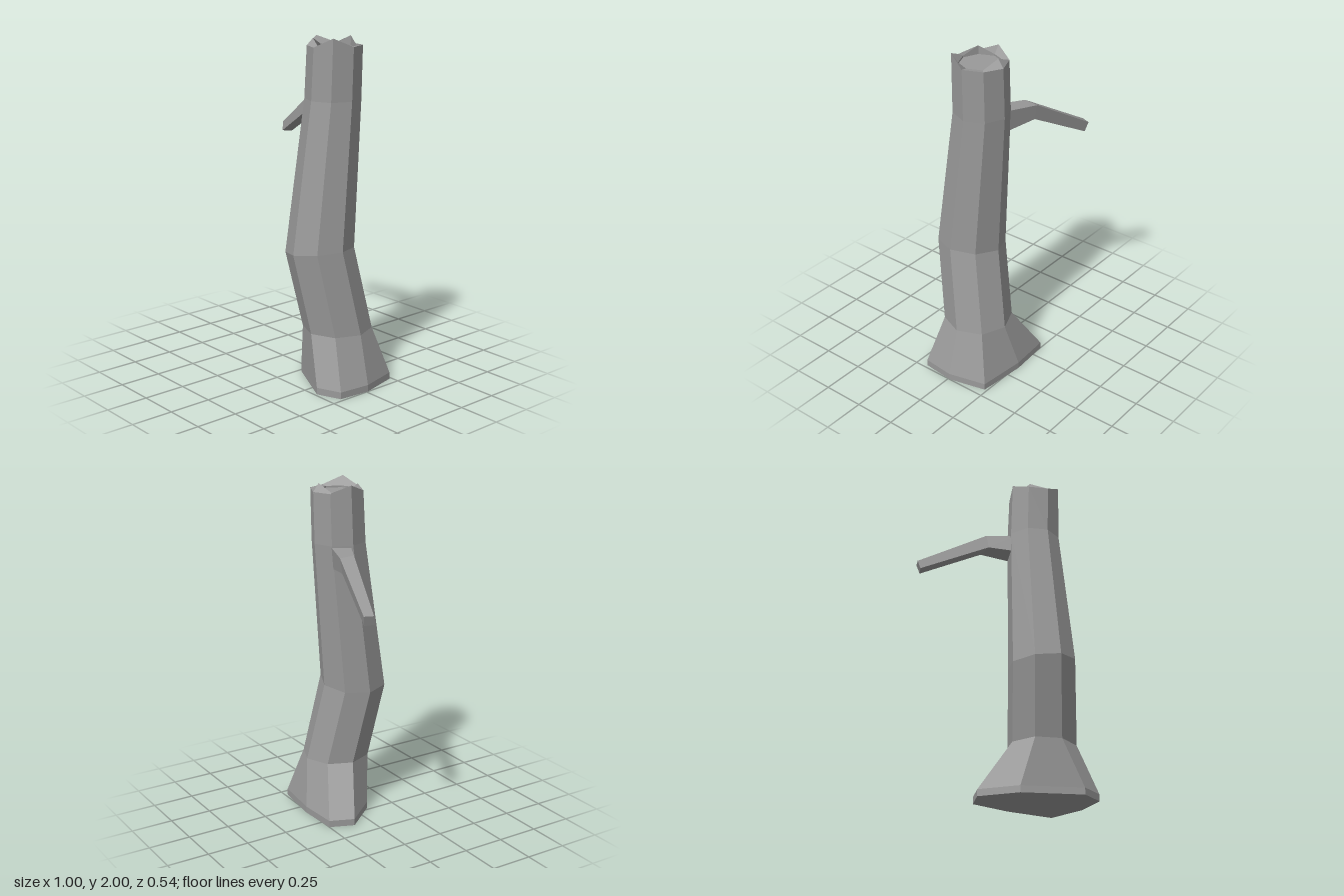
import * as THREE from 'three';

const material = new THREE.MeshStandardMaterial({ color: 0x999999 });

// Joins equal-sized rings of corners into a capped solid, each face shaded flat
function loft(name, rings) {
  const positions = [], normals = [];
  const addFace = (corners) => {
    const normal = new THREE.Vector3();
    for (let i = 1; i + 1 < corners.length; i++) {
      const u = corners[i].clone().sub(corners[0]);
      normal.add(u.cross(corners[i + 1].clone().sub(corners[0])));
    }
    normal.normalize();
    for (let i = 1; i + 1 < corners.length; i++) {
      for (const p of [corners[0], corners[i], corners[i + 1]]) {
        positions.push(p.x, p.y, p.z);
        normals.push(normal.x, normal.y, normal.z);
      }
    }
  };
  const loops = rings.map((ring) => ring.map((p) => new THREE.Vector3(...p)));
  const n = loops[0].length;
  for (let i = 0; i + 1 < loops.length; i++) {
    for (let j = 0; j < n; j++) {
      const k = (j + 1) % n;
      addFace([loops[i][j], loops[i + 1][j], loops[i + 1][k], loops[i][k]]);
    }
  }
  addFace(loops[0]);
  addFace([...loops[loops.length - 1]].reverse());

  const geometry = new THREE.BufferGeometry();
  geometry.setAttribute('position', new THREE.Float32BufferAttribute(positions, 3));
  geometry.setAttribute('normal', new THREE.Float32BufferAttribute(normals, 3));
  const mesh = new THREE.Mesh(geometry, material);
  mesh.name = name;
  return mesh;
}

// Octagon running from +x towards +z; height(j, x) gives each corner's y
function octagon(cx, cz, r, height) {
  return Array.from({ length: 8 }, (_, j) => {
    const a = j * Math.PI / 4;
    const x = cx + r * Math.cos(a);
    return [x, height(j, x), cz + r * Math.sin(a)];
  });
}

export function createModel() {
  const group = new THREE.Group();
  group.name = 'deadTree';

  // Trunk: flared root foot, two bends, splintered hollow top
  const foot = [
    [0.5, -0.01], [0.48, 0.18], [0.34, 0.237], [0.02, 0.08],
    [-0.138, -0.11], [-0.08, -0.25], [0.16, -0.265], [0.445, -0.235],
  ];
  const footRing = (y) => foot.map(([x, z]) => [x, y, z]);
  const outerRim = [1.95, 2.0, 1.945, 1.945, 1.99, 1.945, 1.945, 1.95];
  const innerRim = [1.945, 1.945, 1.945, 1.985, 1.945, 1.945, 1.992, 1.945];
  group.add(loft('trunk', [
    footRing(0),
    footRing(0.04),
    octagon(0.23, -0.015, 0.2, () => 0.32),
    octagon(0.174, 0.073, 0.196, (j, x) => 0.79 + 0.13 * (x - 0.174)),
    octagon(0.182, -0.015, 0.159, () => 1.65),
    octagon(0.193, -0.018, 0.155, (j) => outerRim[j]),
    octagon(0.192, -0.018, 0.12, (j) => innerRim[j]),
    octagon(0.192, -0.018, 0.12, () => 1.935),
  ]));

  // Branch: four-sided, bent down at the elbow (top front, bottom front, bottom back, top back)
  group.add(loft('branch', [
    [[0.06, 1.64, -0.01], [0.06, 1.525, 0.01], [0.1, 1.515, -0.11], [0.1, 1.645, -0.12]],
    [[-0.105, 1.63, -0.092], [-0.1, 1.543, -0.072], [-0.1, 1.535, -0.165], [-0.1, 1.625, -0.18]],
    [[-0.5, 1.4, -0.217], [-0.488, 1.348, -0.203], [-0.464, 1.342, -0.256], [-0.48, 1.4, -0.27]],
  ]));

  return group;
}
